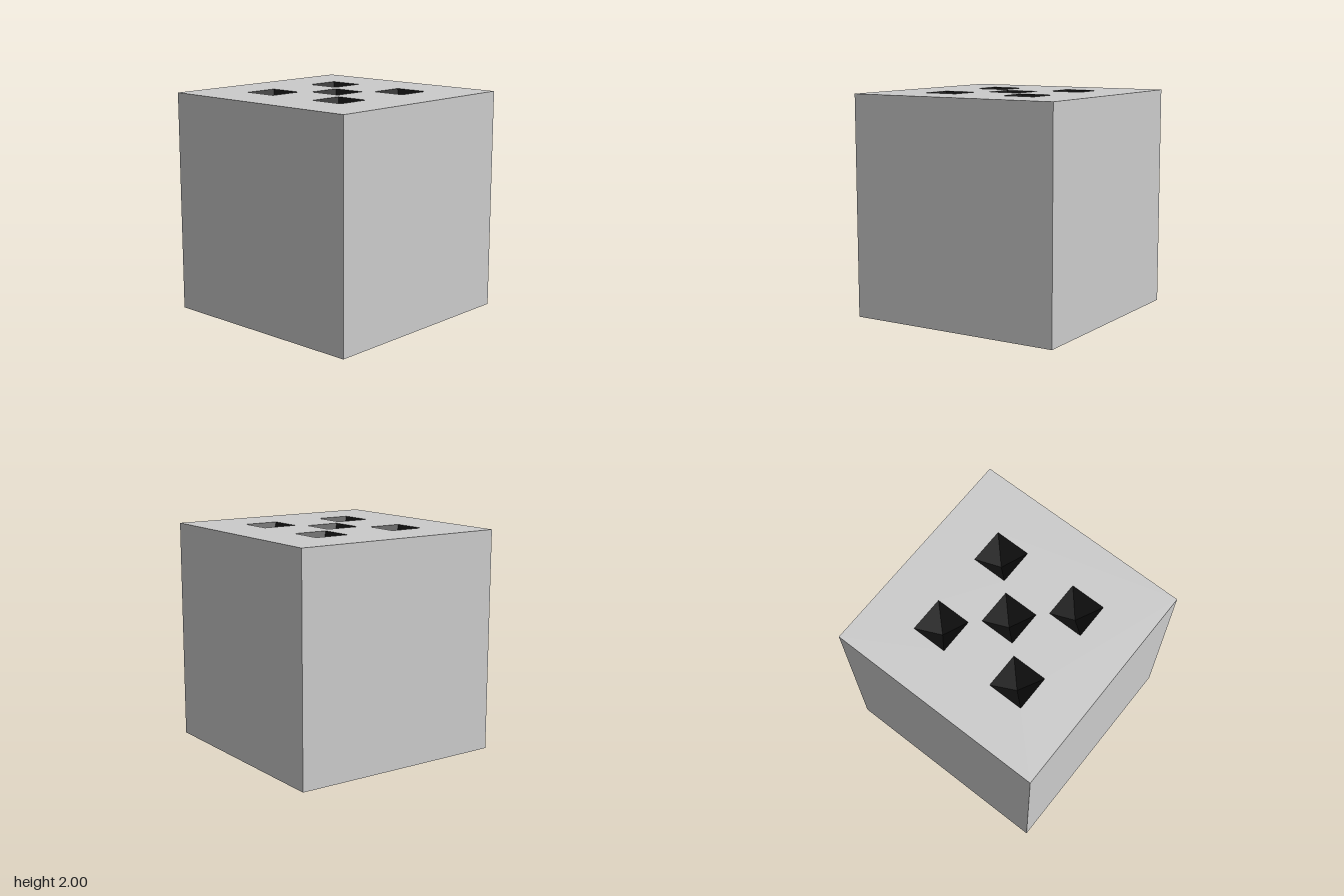
import * as THREE from 'three';

const SIZE = 2, HALF = SIZE / 2;
const PIT_HALF = 0.16, PIT_DEPTH = 0.22;
const PIT_CENTRES = [[0, 0], [-0.4, -0.4], [0.4, -0.4], [-0.4, 0.4], [0.4, 0.4]];

function squarePath(PathType, cx, cy, h) {
  return new PathType([[-h, -h], [h, -h], [h, h], [-h, h]].map(([x, y]) => new THREE.Vector2(cx + x, cy + y)));
}

export function createModel() {
  const model = new THREE.Group();
  const grey = new THREE.MeshStandardMaterial({ color: 0xcccccc, flatShading: true });
  const black = new THREE.MeshStandardMaterial({ color: 0x111111, flatShading: true });

  const add = (name, geometry, material) => {
    const mesh = new THREE.Mesh(geometry, material);
    mesh.name = name;
    model.add(mesh);
    return mesh;
  };

  // Four side walls
  ['frontWall', 'leftWall', 'backWall', 'rightWall'].forEach((name, i) => {
    const wall = new THREE.PlaneGeometry(SIZE, SIZE).translate(0, HALF, HALF).rotateY(i * Math.PI / 2);
    add(name, wall, grey);
  });

  // Base
  add('base', new THREE.PlaneGeometry(SIZE, SIZE).rotateX(Math.PI / 2), grey);

  // Top face with five square openings
  const top = squarePath(THREE.Shape, 0, 0, HALF);
  top.holes = PIT_CENTRES.map(([x, z]) => squarePath(THREE.Path, x, -z, PIT_HALF));
  add('top', new THREE.ShapeGeometry(top).rotateX(-Math.PI / 2).translate(0, SIZE, 0), grey);

  // Dark pits: a four-sided cone mirrored in y, so its faces look inwards
  const pit = new THREE.ConeGeometry(PIT_HALF * Math.SQRT2, PIT_DEPTH, 4, 1, true)
    .rotateY(Math.PI / 4)
    .scale(1, -1, 1)
    .translate(0, -PIT_DEPTH / 2, 0)
    .toNonIndexed();
  pit.computeVertexNormals();
  PIT_CENTRES.forEach(([x, z], i) => add(`pit${i + 1}`, pit, black).position.set(x, SIZE, z));

  return model;
}
